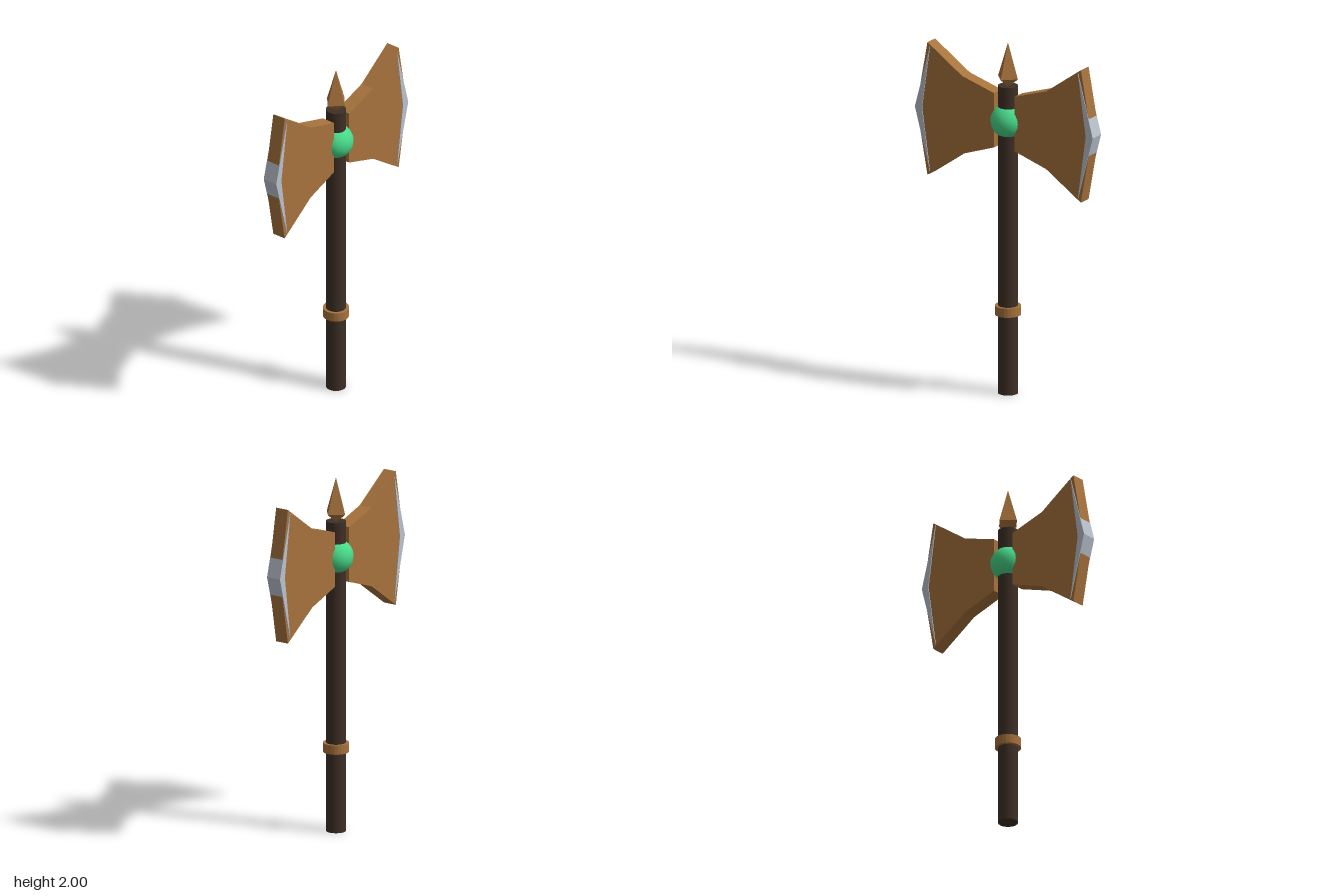
import * as THREE from 'three';

const mat = (name, color, flatShading = false) => {
  const m = new THREE.MeshStandardMaterial({ color, flatShading });
  m.name = name;
  return m;
};

export function createModel() {
  const group = new THREE.Group();
  const darkWood = mat('dark wood', 0x3e2f26);
  const bronze = mat('bronze', 0xa8733d, true);
  const steel = mat('steel', 0xbcc3ce, true);
  const green = mat('green gem', 0x48d98a);

  const add = (name, geometry, material, y = 0) => {
    const mesh = new THREE.Mesh(geometry, material);
    mesh.name = name;
    mesh.position.y = y;
    group.add(mesh);
    return mesh;
  };

  // Flat plate, centred on z = 0; side mirrors the outline in x
  const plate = (points, depth, side) => {
    const shape = new THREE.Shape(points.map(([x, y]) => new THREE.Vector2(x * side, y)));
    return new THREE.ExtrudeGeometry(shape, { depth, bevelEnabled: false }).translate(0, 0, -depth / 2);
  };

  // Handle and grip ring
  add('handle', new THREE.CylinderGeometry(0.055, 0.055, 1.755, 24), darkWood, 0.8775);
  add('gripRing', new THREE.CylinderGeometry(0.072, 0.072, 0.052, 24), bronze, 0.475);

  // Gem set through the handle
  add('gem', new THREE.SphereGeometry(0.097, 16, 12), green, 1.555);

  // Four-sided spike on top
  const spikeProfile = [[0, 1.745], [0.067, 1.8], [0, 2]].map(([r, y]) => new THREE.Vector2(r, y));
  const spike = add('spike', new THREE.LatheGeometry(spikeProfile, 4), bronze);
  spike.rotation.y = -0.08;

  // Two mirrored blades with raised cutting edges
  const bladeOutline = [
    [0.065, 1.40], [0.27, 1.33], [0.492, 1.175], [0.542, 1.45], [0.555, 1.555],
    [0.542, 1.66], [0.492, 1.932], [0.27, 1.775], [0.065, 1.71],
  ];
  const edgeOutline = [[0.474, 1.195], [0.57, 1.555], [0.474, 1.915], [0.525, 1.555]];
  for (const [label, side] of [['left', 1], ['right', -1]]) {
    add(label + 'Blade', plate(bladeOutline, 0.08, side), bronze);
    add(label + 'CuttingEdge', plate(edgeOutline, 0.088, side), steel);
  }
  return group;
}
